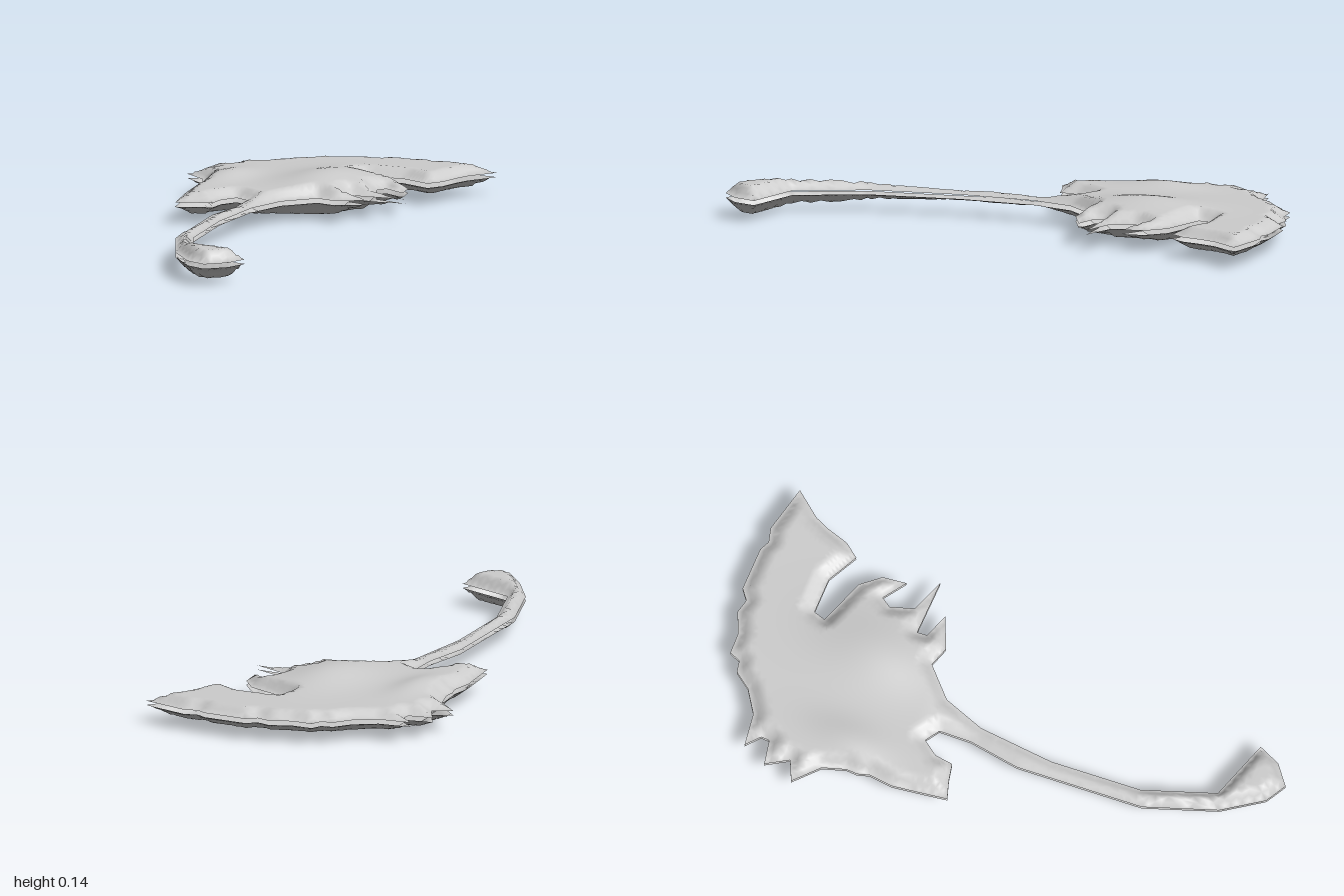
import * as THREE from 'three';

// Outlines in plan (x, z); the three parts share their joining edges.
const headEdge = [
  [0.005, -0.19], [0.1, -0.29], [0.17, -0.27], [0.28, -0.322], [0.19, -0.35], [0.185, -0.385],
  [0.386, -0.388], [0.26, -0.43], [0.23, -0.51], [0.25, -0.545], [0.333, -0.492], [0.318, -0.577],
  [0.26, -0.64], [0.095, -0.693], [0.105, -0.735], [0.233, -0.74], [0.344, -0.688], [0.38, -0.74],
  [0.4, -0.82], [0.42, -0.873], [0.487, -0.967], [0.32, -1], [0.27, -0.985], [0.235, -1],
  [0.08, -0.995], [0.045, -0.965], [-0.005, -0.975], [-0.075, -0.94], [-0.15, -0.935], [-0.165, -0.895],
  [-0.205, -0.885], [-0.245, -0.825], [-0.32, -0.77], [-0.435, -0.75], [-0.385, -0.71], [-0.385, -0.68],
  [-0.47, -0.66], [-0.42, -0.585], [-0.488, -0.55], [-0.4, -0.475], [-0.37, -0.395], [-0.37, -0.355],
  [-0.355, -0.315], [-0.36, -0.23], [-0.345, -0.15], [-0.323, -0.037], [-0.26, -0.06], [-0.2, -0.075],
  [-0.195, -0.14], [-0.16, -0.195], [-0.11, -0.165],
];
const shaftLeft = [[-0.1, -0.05], [-0.118, 0.13], [-0.07, 0.58], [0.03, 0.825]];
const pommelEdge = [[0.13, 0.957], [0.205, 0.995], [0.27, 0.937], [0.3, 0.857]];
const shaftRight = [[0.085, 0.795], [-0.015, 0.55], [-0.05, 0.23], [-0.04, -0.04]];

const outline = [...headEdge, ...shaftLeft, ...pommelEdge, ...shaftRight];
const parts = {
  axeHead: headEdge,
  shaft: [headEdge.at(-1), ...shaftLeft, ...shaftRight, headEdge[0]],
  pommel: [shaftLeft.at(-1), ...pommelEdge, shaftRight[0]],
};

const MIDDLE = 0.0725, HALF_GAP = 0.0075;

function edgeDistance(x, z) {
  let best = Infinity;
  outline.forEach(([ax, az], i) => {
    const [bx, bz] = outline[(i + 1) % outline.length];
    const dx = bx - ax, dz = bz - az;
    const t = THREE.MathUtils.clamp(((x - ax) * dx + (z - az) * dz) / (dx * dx + dz * dz), 0, 1);
    best = Math.min(best, Math.hypot(x - ax - t * dx, z - az - t * dz));
  });
  return best;
}

const bump = (x, z, cx, cz, rx, rz) => Math.exp(-(((x - cx) / rx) ** 2) - ((z - cz) / rz) ** 2);

// Thickness: bevelled rim, swelling head, shaft growing towards the pommel
function height(x, z) {
  const head = 0.031 + 0.031 * bump(x, z, 0.05, -0.48, 0.13, 0.2) + 0.02 * bump(x, z, -0.28, -0.42, 0.07, 0.14);
  const shaft = 0.012 + 0.03 * THREE.MathUtils.smoothstep(z, 0.2, 0.9);
  const body = THREE.MathUtils.lerp(head, shaft, THREE.MathUtils.smoothstep(z, -0.25, -0.02) * (x > -0.15 ? 1 : 0));
  const rim = z > 0 ? 0.035 : 0.045;
  return body * Math.min(1, edgeDistance(x, z) / rim);
}

// One curved shell over an outline; side is 1 for the top and -1 for the underside
function shell(points, side) {
  const pts = points.map(([x, z]) => new THREE.Vector2(x, z));
  const position = [], normal = [], cache = new Map();

  const sample = (p) => {
    const key = p.x.toFixed(5) + ',' + p.y.toFixed(5);
    if (!cache.has(key)) {
      const e = 0.018;
      const n = new THREE.Vector3(
        (height(p.x - e, p.y) - height(p.x + e, p.y)) / (2 * e), 1,
        (height(p.x, p.y - e) - height(p.x, p.y + e)) / (2 * e)).normalize();
      cache.set(key, [height(p.x, p.y), n]);
    }
    return cache.get(key);
  };

  // Halve the longest edge until every triangle is small
  const split = (a, b, c) => {
    const ab = a.distanceTo(b), bc = b.distanceTo(c), ca = c.distanceTo(a);
    const longest = Math.max(ab, bc, ca);
    if (longest > 0.028) {
      if (longest === bc) return split(b, c, a);
      if (longest === ca) return split(c, a, b);
      const m = a.clone().add(b).multiplyScalar(0.5);
      split(a, m, c);
      split(m, b, c);
      return;
    }
    const area = (b.x - a.x) * (c.y - a.y) - (b.y - a.y) * (c.x - a.x);
    for (const p of area * side < 0 ? [a, b, c] : [a, c, b]) {
      const [h, n] = sample(p);
      position.push(p.x, MIDDLE + side * (HALF_GAP + h), p.y);
      normal.push(n.x, n.y * side, n.z);
    }
  };
  for (const [i, j, k] of THREE.ShapeUtils.triangulateShape(pts, [])) split(pts[i], pts[j], pts[k]);

  const geometry = new THREE.BufferGeometry();
  geometry.setAttribute('position', new THREE.Float32BufferAttribute(position, 3));
  geometry.setAttribute('normal', new THREE.Float32BufferAttribute(normal, 3));
  return geometry;
}

export function createModel() {
  const steel = new THREE.MeshStandardMaterial({ color: 0xcccccc, side: THREE.DoubleSide });
  steel.name = 'pale grey';
  const model = new THREE.Group();
  model.name = 'jaggedAxe';
  for (const [name, points] of Object.entries(parts)) {
    const part = new THREE.Group();
    part.name = name;
    for (const side of [1, -1]) {
      const mesh = new THREE.Mesh(shell(points, side), steel);
      mesh.name = name + (side > 0 ? 'Top' : 'Underside');
      part.add(mesh);
    }
    model.add(part);
  }
  return model;
}
